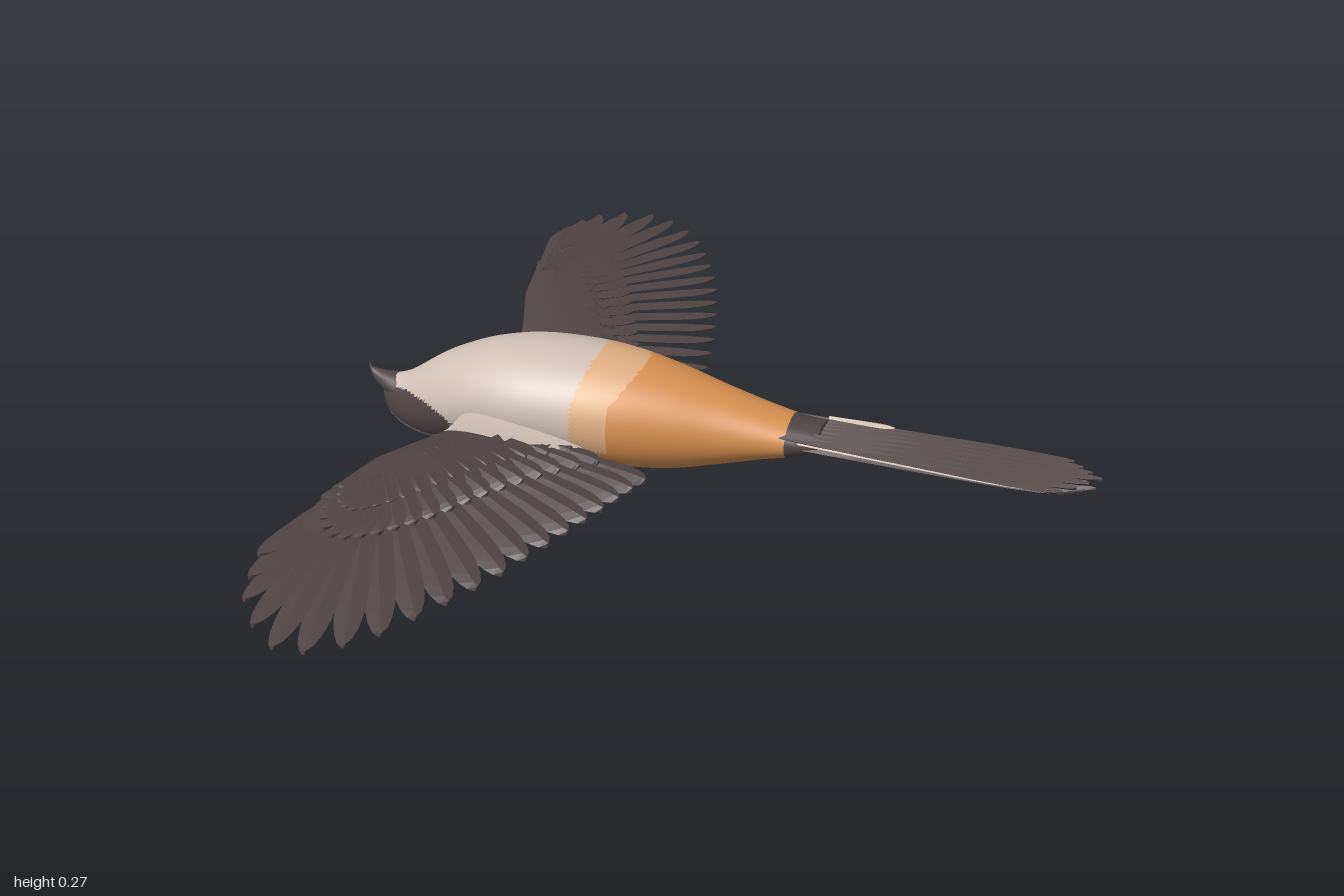
import * as THREE from 'three';
import { mergeGeometries } from 'three/addons/utils/BufferGeometryUtils.js';

const V = (x, y, z) => new THREE.Vector3(x, y, z);

// Closed solid through rings of points; pick(centre of face) gives a material index
function loft(rings, pick = () => 0, flat = false) {
  const n = rings[0].length, last = rings.length - 1;
  const pts = rings.flat(), faces = [];
  const quad = (a, b, c, d) => faces.push([a, b, c], [a, c, d]);
  for (let i = 0; i < last; i++) for (let j = 0; j < n; j++) {
    const k = (j + 1) % n;
    quad(i * n + j, i * n + k, (i + 1) * n + k, (i + 1) * n + j);
  }
  for (const e of [0, last]) {
    const c = rings[e].reduce((s, p) => s.add(p), V(0, 0, 0)).divideScalar(n);
    pts.push(c);
    for (let j = 0; j < n; j++) {
      const a = e * n + j, b = e * n + (j + 1) % n;
      faces.push(e ? [a, b, pts.length - 1] : [b, a, pts.length - 1]);
    }
  }
  // turn the faces outward
  const origin = pts[pts.length - 1];
  let volume = 0;
  for (const f of faces) {
    const [a, b, c] = f.map(i => pts[i].clone().sub(origin));
    volume += a.dot(b.cross(c));
  }
  const buckets = [];
  for (const f of faces) {
    const c = V(0, 0, 0);
    f.forEach(i => c.addScaledVector(pts[i], 1 / 3));
    const m = pick(c);
    (buckets[m] ||= []).push(...(volume < 0 ? [f[0], f[2], f[1]] : f));
  }
  let geo = new THREE.BufferGeometry().setFromPoints(pts);
  geo.setIndex(buckets.flat());
  if (flat) geo = geo.toNonIndexed();
  let start = 0;
  buckets.forEach((b, m) => { geo.addGroup(start, b.length, m); start += b.length; });
  geo.computeVertexNormals();
  return geo;
}

// Slim blade with a central ridge, rounded at the tip
function feather(a, b, w, thick = 0.012, tilt = 0) {
  const dir = b.clone().sub(a), side = V(-dir.z, 0, dir.x).normalize();
  const rings = [];
  for (const s of [0, 0.2, 0.45, 0.7, 0.82, 0.91, 0.97, 1]) {
    const round = Math.sqrt(Math.max(0.01, 1 - Math.max(0, (s - 0.75) / 0.25) ** 2));
    const h = w * Math.min(1, 0.65 + 0.6 * s) * round;
    const t = thick * 0.5 * (0.4 + 0.6 * round);
    const c = a.clone().lerp(b, s);
    rings.push([
      c.clone().addScaledVector(side, h).add(V(0, tilt, 0)), c.clone().add(V(0, t, 0)),
      c.clone().addScaledVector(side, -h).add(V(0, -tilt, 0)), c.clone().add(V(0, -t, 0))
    ]);
  }
  return loft(rings, undefined, true);
}

// Elliptical rings along x from stations of [x, top, bottom, half width]
function bodyRings(stations, steps, around) {
  const curve = k => new THREE.CatmullRomCurve3(stations.map(s => V(s[0], s[k], s[k + 1] ?? 0)), false, 'catmullrom', 0.5);
  const heights = curve(1), widths = curve(3);
  return Array.from({ length: steps + 1 }, (_, i) => {
    const p = heights.getPoint(i / steps), w = widths.getPoint(i / steps).y;
    return Array.from({ length: around }, (_, j) => {
      const a = j / around * Math.PI * 2;
      return V(p.x, (p.y + p.z) / 2 + Math.sin(a) * (p.y - p.z) / 2, Math.cos(a) * w);
    });
  });
}

export function createModel() {
  const group = new THREE.Group();
  const mat = (name, color) => Object.assign(new THREE.MeshStandardMaterial({ color }), { name });
  const beige = mat('beige', 0xd0bfb3), peach = mat('peach', 0xdfae82), orange = mat('orange', 0xd89050);
  const grey = mat('grey', 0x84848d), dark = mat('darkBrown', 0x504545);
  const add = (name, geo, material, parent = group) => {
    const mesh = new THREE.Mesh(geo, material);
    mesh.name = name;
    parent.add(mesh);
  };

  // Body and head in one smooth form
  const stations = [
    [-0.772, 0.1, 0.07, 0.012], [-0.755, 0.128, 0.035, 0.03], [-0.71, 0.145, 0.01, 0.056],
    [-0.65, 0.185, 0.002, 0.085], [-0.6, 0.214, 0.01, 0.102], [-0.52, 0.245, 0.031, 0.126],
    [-0.42, 0.264, 0.031, 0.146], [-0.3, 0.268, 0.024, 0.148], [-0.2, 0.26, 0.018, 0.139],
    [-0.1, 0.24, 0.024, 0.118], [0, 0.212, 0.047, 0.092], [0.1, 0.185, 0.075, 0.072],
    [0.17, 0.169, 0.093, 0.061], [0.22, 0.163, 0.115, 0.054]
  ];
  const paint = ({ x, y, z }) => {
    if (x > 0.15) return 4;
    if (((x + 0.675) / 0.1) ** 2 + ((y - 0.08) / 0.045) ** 2 < 1 && (Math.abs(z) > 0.03 || x < -0.75)) return 4;
    if (y < 0.095) return x < -0.26 ? 3 : x < -0.235 && y < 0.07 ? 4 : 2;
    const high = Math.max(0, (y - 0.2) / 0.07);
    return x < -0.29 + 0.025 * high ? 0 : x < -0.21 + 0.06 * high ? 1 : 2;
  };
  add('body', loft(bodyRings(stations, 140, 72), paint), [beige, peach, orange, grey, dark]);

  // Hooked beak
  add('beak', loft(bodyRings([
    [-0.72, 0.133, 0.075, 0.04], [-0.755, 0.135, 0.085, 0.03], [-0.78, 0.137, 0.1, 0.017],
    [-0.797, 0.141, 0.118, 0.009], [-0.806, 0.154, 0.136, 0.002]
  ], 16, 16)), dark);

  // Height of the wing sheet
  const wingY = (x, z) => 0.158 - (z < 0.45 ? 0.35 : 0.13) * (z - 0.45) ** 2 - 0.12 * (x + 0.6);
  const path = list => new THREE.CatmullRomCurve3(list.map(([x, z]) => V(x, 0, z)));
  const tips = path([[-0.675, 0.78], [-0.64, 0.91], [-0.53, 1.0], [-0.41, 0.93], [-0.32, 0.8],
    [-0.25, 0.67], [-0.2, 0.54], [-0.16, 0.42], [-0.13, 0.3], [-0.11, 0.18]]);
  const roots = path([[-0.61, 0.5], [-0.595, 0.52], [-0.585, 0.51], [-0.575, 0.48], [-0.56, 0.45],
    [-0.54, 0.4], [-0.52, 0.34], [-0.49, 0.28], [-0.44, 0.22], [-0.36, 0.16]]);

  for (const s of [1, -1]) {
    const wing = new THREE.Group();
    wing.name = s > 0 ? 'leftWing' : 'rightWing';
    group.add(wing);
    const place = (x, z, dy) => V(x + (s < 0 ? 0.06 * Math.max(0, z - 0.2) : 0), wingY(x, z) + dy, z * s);

    // Fleshy arm, pale at the shoulder
    const arm = [[0.05, -0.55, -0.2, 0.06], [0.1, -0.548, -0.22, 0.05], [0.14, -0.545, -0.25, 0.037],
      [0.17, -0.542, -0.28, 0.028], [0.2, -0.54, -0.31, 0.024], [0.22, -0.542, -0.32, 0.022],
      [0.24, -0.548, -0.33, 0.021], [0.3, -0.57, -0.34, 0.02], [0.4, -0.61, -0.4, 0.02],
      [0.5, -0.632, -0.47, 0.018], [0.6, -0.645, -0.54, 0.012], [0.68, -0.645, -0.6, 0.003]];
    const rings = arm.map(([z, x0, x1, t]) => Array.from({ length: 24 }, (_, j) => {
      const a = j / 24 * Math.PI * 2, x = (x0 + x1) / 2 - Math.cos(a) * (x1 - x0) / 2;
      return place(x, z, 0.004 + Math.sin(a) * t);
    }));
    const shoulder = ({ x, y, z }) => {
      const r = Math.abs(z);
      return r < 0.225 - 0.25 * Math.max(0, x + 0.48) && y > wingY(x, r) - 0.002 ? 0 : 1;
    };
    add('wingArm', loft(rings, shoulder), [beige, dark], wing);

    // Flight feathers, then shorter coverts above and below: count, length at wrist, gain inward
    const rows = [
      ['flightFeathers', 20, 1, 0, 0.03, 0], ['greaterCoverts', 20, 0.3, 0.28, 0.026, 0.01],
      ['lesserCoverts', 18, 0.16, 0.18, 0.023, 0.014], ['underCoverts', 20, 0.3, 0.25, 0.026, -0.012]
    ];
    for (const [name, count, reach, gain, w, dy] of rows) {
      const blades = [];
      for (let i = 0; i < count; i++) {
        const u = i / (count - 1), tip = tips.getPoint(u), root = roots.getPoint(u);
        const end = root.clone().lerp(tip, reach + gain * u);
        blades.push(feather(place(root.x, root.z, dy), place(end.x, end.z, dy), w, 0.018, -s * 0.005));
      }
      add(name, mergeGeometries(blades), dark, wing);
    }

    // Small pale patch beneath the middle of the wing
    const patch = [0.3, 0.36, 0.42].map(u => {
      const tip = tips.getPoint(u), root = roots.getPoint(u);
      const a = root.clone().lerp(tip, 0.27), b = root.clone().lerp(tip, 0.43);
      return feather(place(a.x, a.z, -0.021), place(b.x, b.z, -0.021), 0.017, 0.008, -s * 0.003);
    });
    add('palePatch', mergeGeometries(patch), beige, wing);
  }

  // Long tail, wide above and narrow below, in overlapping layers
  const lower = [], upper = [], pale = [];
  for (let i = -3; i <= 3; i++) {
    const k = Math.abs(i);
    lower.push(feather(V(0.13, 0.102 + k * 0.009, i * 0.014), V(0.79 - k * 0.02, 0.12 + k * 0.004, i * 0.018 + 0.017), 0.019, 0.02));
    upper.push(feather(V(0.14, 0.152 - k * 0.001, i * 0.015), V(0.8 - k * 0.022, 0.145 - k * 0.002, i * 0.021 + 0.018), 0.022, 0.02, 0.002));
  }
  // Pale outer feathers, mostly tucked under the dark ones
  pale.push(feather(V(0.18, 0.143, 0.05), V(0.68, 0.141, 0.086), 0.016, 0.014));
  pale.push(feather(V(0.18, 0.141, -0.044), V(0.68, 0.14, -0.042), 0.016, 0.014));
  pale.push(feather(V(0.22, 0.159, -0.043), V(0.36, 0.157, -0.042), 0.01, 0.008));
  add('lowerTailFeathers', mergeGeometries(lower), dark);
  add('upperTailFeathers', mergeGeometries(upper), dark);
  add('paleTailFeathers', mergeGeometries(pale), beige);

  return group;
}
